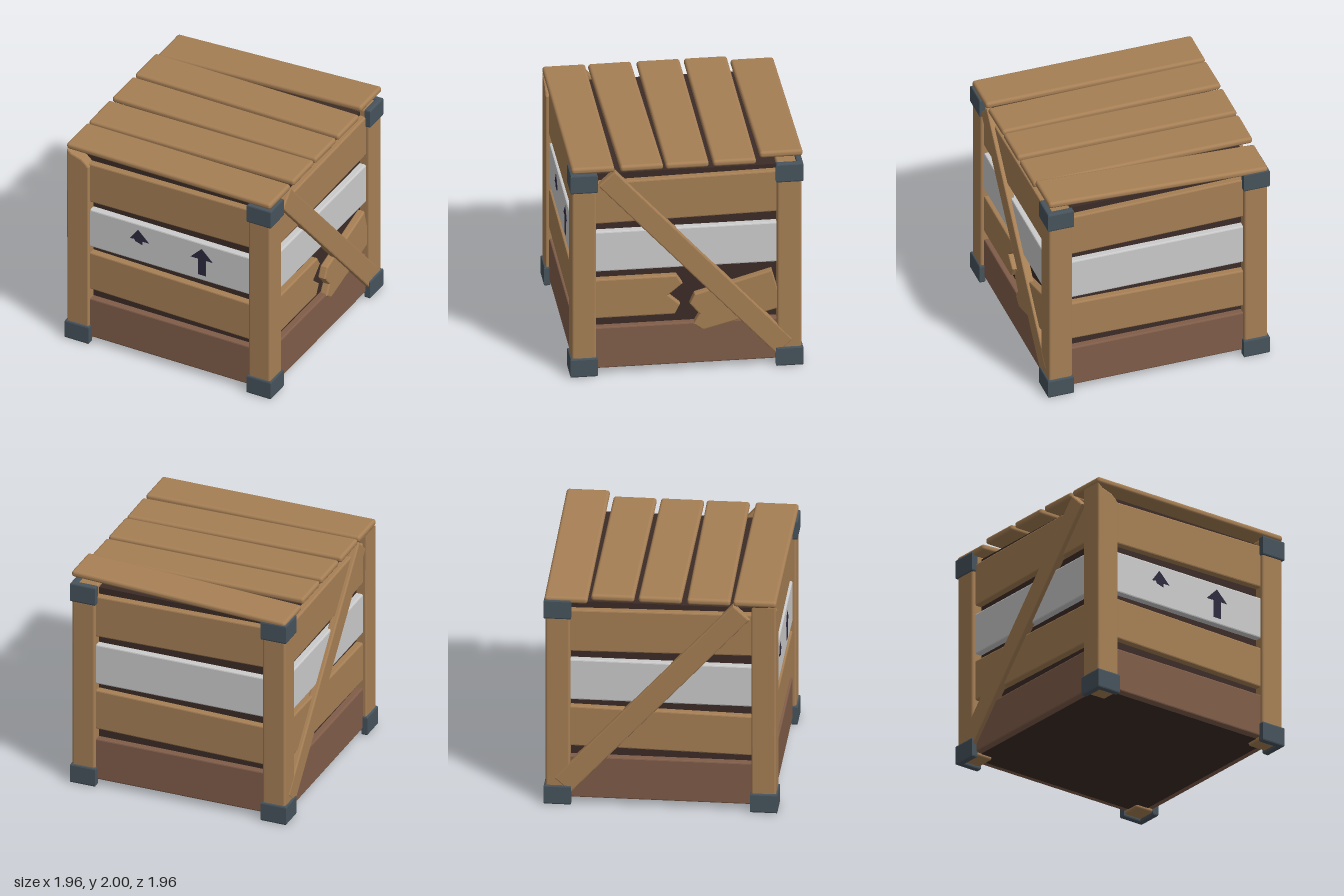
import * as THREE from 'three';
import { RoundedBoxGeometry } from 'three/addons/geometries/RoundedBoxGeometry.js';

const mat = (color) => new THREE.MeshStandardMaterial({ color });
const wood = mat(0xa67f55);
const darkWood = mat(0x805d49);
const grey = mat(0xcccccc);
const metal = mat(0x47535c);
const shadow = mat(0x3c2c27);
const paint = mat(0x2e2a40);

function add(parent, name, geometry, material, x = 0, y = 0, z = 0) {
  const mesh = new THREE.Mesh(geometry, material);
  mesh.name = name;
  mesh.position.set(x, y, z);
  parent.add(mesh);
  return mesh;
}

// Outline extruded along z from 0 to depth, with edges chamfered inside the outline
function slab(points, depth, bevel = 0.012) {
  const shape = new THREE.Shape(points.map(([x, y]) => new THREE.Vector2(x, y)));
  const geometry = new THREE.ExtrudeGeometry(shape, {
    depth: depth - 2 * bevel, bevelEnabled: bevel > 0, bevelThickness: bevel,
    bevelSize: bevel, bevelOffset: -bevel, bevelSegments: 2,
  });
  return geometry.translate(0, 0, bevel);
}

// Board between the posts: bottom and top heights at its left and right end
const board = (bl, br, tr, tl) => [[-0.8, bl], [0.8, br], [0.8, tr], [-0.8, tl]];

const BROKEN_LEFT = [[-0.8, 0.52], [-0.095, 0.52], [-0.05, 0.61], [-0.15, 0.7],
  [-0.03, 0.8], [-0.08, 0.88], [-0.8, 0.88]];
const BROKEN_RIGHT = [[0.14, 0.36], [0.79, 0.53], [0.79, 0.63], [0.72, 0.885], [0.07, 0.7],
  [0.03, 0.61], [0.11, 0.51], [0.06, 0.42]];
const BRACE = [[-0.745, 1.77], [0.755, 0.11], [0.895, 0.24], [-0.605, 1.9]];

// One wall, built facing +z and then turned into place
function createSide(name, angle, { broken = false, brace = 0 }) {
  const side = new THREE.Group();
  side.name = name;
  side.rotation.y = angle;
  const inner = 0.865, depth = 0.07;
  add(side, 'topBoard', slab(board(1.4, 1.425, 1.805, 1.78), depth), wood, 0, 0, inner);
  add(side, 'paintedBoard', slab(board(0.955, 0.955, 1.325, 1.325), depth), grey, 0, 0, inner);
  add(side, 'bottomBoard', slab(board(0.055, 0.055, 0.435, 0.435), depth), darkWood, 0, 0, inner);
  if (broken) {
    add(side, 'brokenBoardLeft', slab(BROKEN_LEFT, depth), wood, 0, 0, inner);
    add(side, 'brokenBoardRight', slab(BROKEN_RIGHT, depth), wood, 0, 0, inner + 0.01);
  } else {
    add(side, 'lowerBoard', slab(board(0.53, 0.505, 0.865, 0.895), depth), wood, 0, 0, inner);
  }
  if (brace) {
    const points = BRACE.map(([x, y]) => [x * brace, y]);
    add(side, 'diagonalBrace', slab(points, 0.07), wood, 0, 0, 0.9);
  }
  return side;
}

export function createModel() {
  const crate = new THREE.Group();
  crate.name = 'crate';

  // Dark inner box
  add(crate, 'innerBox', new THREE.BoxGeometry(1.75, 1.79, 1.75), shadow, 0, 0.945, 0);

  // Walls
  const front = createSide('frontSide', 0, {});
  crate.add(front);
  crate.add(createSide('leftSide', Math.PI / 2, { broken: true, brace: 1 }));
  crate.add(createSide('backSide', Math.PI, {}));
  crate.add(createSide('rightSide', -Math.PI / 2, { brace: -1 }));

  // Painted arrows, one whole and one worn away
  const arrow = [[0.265, 1.01], [0.34, 1.01], [0.34, 1.165], [0.405, 1.165],
    [0.3, 1.27], [0.195, 1.165], [0.265, 1.165]];
  const wornArrow = [[-0.38, 1.165], [-0.34, 1.17], [-0.33, 1.15], [-0.265, 1.13],
    [-0.265, 1.165], [-0.2, 1.165], [-0.305, 1.27]];
  add(front, 'arrow', slab(arrow, 0.004, 0), paint, 0, 0, 0.934);
  add(front, 'wornArrow', slab(wornArrow, 0.004, 0), paint, 0, 0, 0.934);

  // Corner posts with L-shaped metal brackets
  const post = new RoundedBoxGeometry(0.207, 1.845, 0.207, 3, 0.02);
  const o = 0.98, i = 0.75, t = 0.925;
  for (const sx of [-1, 1]) {
    for (const sz of [-1, 1]) {
      const chipped = sx < 0 && sz > 0;
      if (chipped) {
        const outline = [[-0.967, 0.025], [-0.76, 0.025], [-0.76, 1.76], [-0.785, 1.79],
          [-0.825, 1.825], [-0.92, 1.855], [-0.967, 1.89]];
        add(crate, 'chippedPost', slab(outline, 0.207, 0.015), wood, 0, 0, 0.76);
      } else {
        add(crate, 'post', post, wood, sx * 0.8635, 0.9475, sz * 0.8635);
      }
      const corner = [[i, o], [o, o], [o, i], [t, i], [t, t], [i, t]]
        .map(([x, z]) => [x * sx, -z * sz]);
      const bracket = slab(corner, 0.175, 0.014).rotateX(-Math.PI / 2);
      add(crate, 'bottomBracket', bracket, metal);
      if (!chipped) add(crate, 'topBracket', bracket, metal, 0, 1.71, 0);
    }
  }

  // Lid boards: one turned slightly, the rear one lifted at one end
  const lidBoard = new RoundedBoxGeometry(1.94, 0.057, 0.362, 4, 0.024);
  [-0.795, -0.403, -0.005, 0.39, 0.788].forEach((z, n) => {
    const lid = add(crate, 'lidBoard', lidBoard, wood, 0, n === 0 ? 1.927 : 1.917, z);
    if (n === 0) lid.rotation.z = 0.047;
    if (n === 3) lid.rotation.y = 0.013;
  });

  return crate;
}
